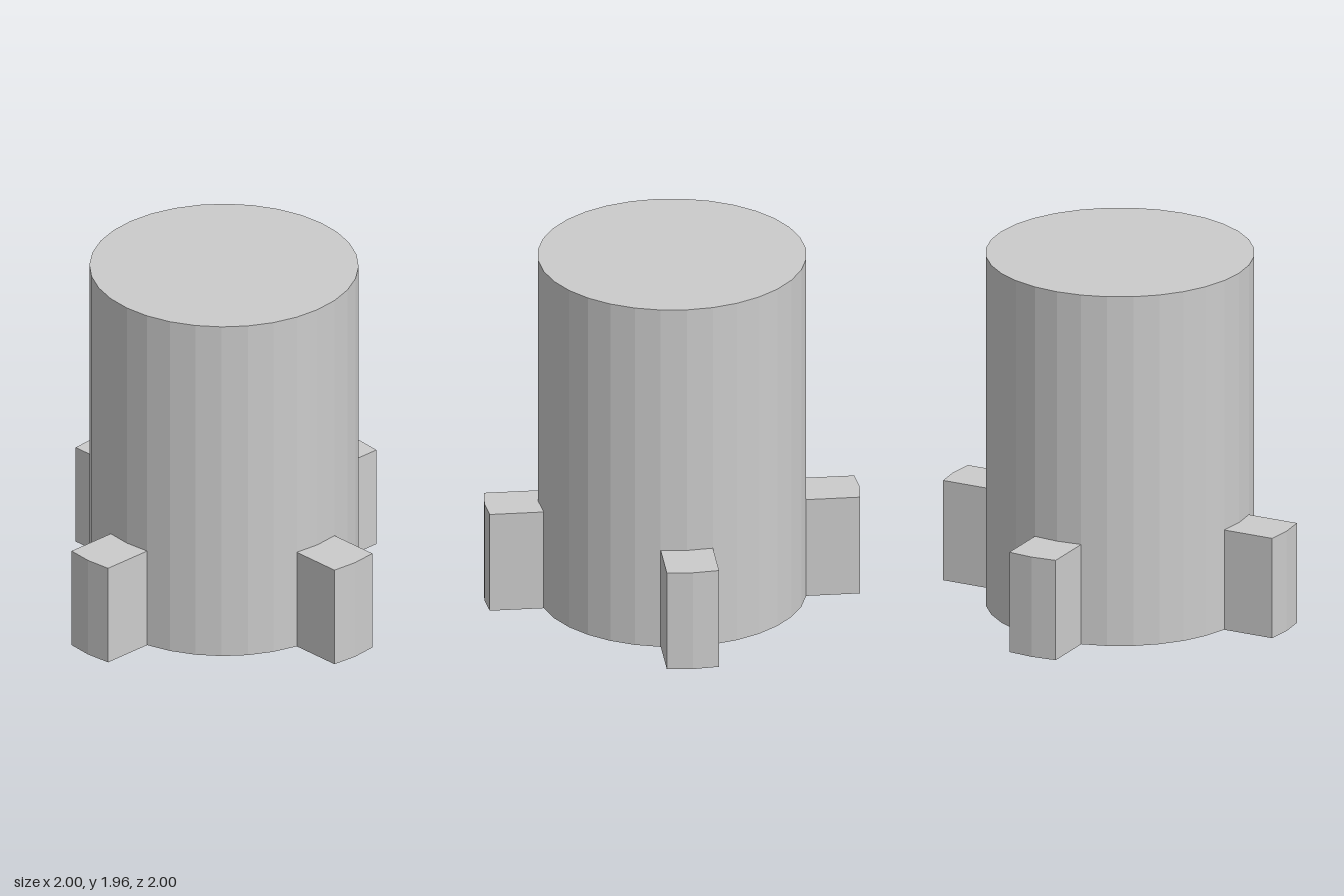
import * as THREE from 'three';

export function createModel() {
  const group = new THREE.Group();
  group.name = 'finnedCylinder';
  const material = new THREE.MeshStandardMaterial({ color: 0xcccccc, flatShading: true });

  // Faceted main body
  const sides = 32, radius = 0.713, height = 1.96;
  const body = new THREE.Mesh(new THREE.CylinderGeometry(radius, radius, height, sides), material);
  body.name = 'body';
  body.position.y = height / 2;
  group.add(body);

  // Fin outline from above: inner end follows the body facets, outer end is slightly pointed
  const step = (2 * Math.PI) / sides;
  const half = radius * Math.sin(step);
  const inner = radius * Math.cos(step);
  const outline = new THREE.Shape([
    [inner, -half], [0.987, -half], [1, 0], [0.987, half], [inner, half], [radius, 0],
  ].map(([x, y]) => new THREE.Vector2(x, y)));
  const finGeometry = new THREE.ExtrudeGeometry(outline, { depth: 0.56, bevelEnabled: false });
  finGeometry.rotateX(-Math.PI / 2);

  // Four fins around the base
  ['leftFin', 'backFin', 'rightFin', 'frontFin'].forEach((name, i) => {
    const fin = new THREE.Mesh(finGeometry, material);
    fin.name = name;
    fin.rotation.y = (i * Math.PI) / 2;
    group.add(fin);
  });

  return group;
}
